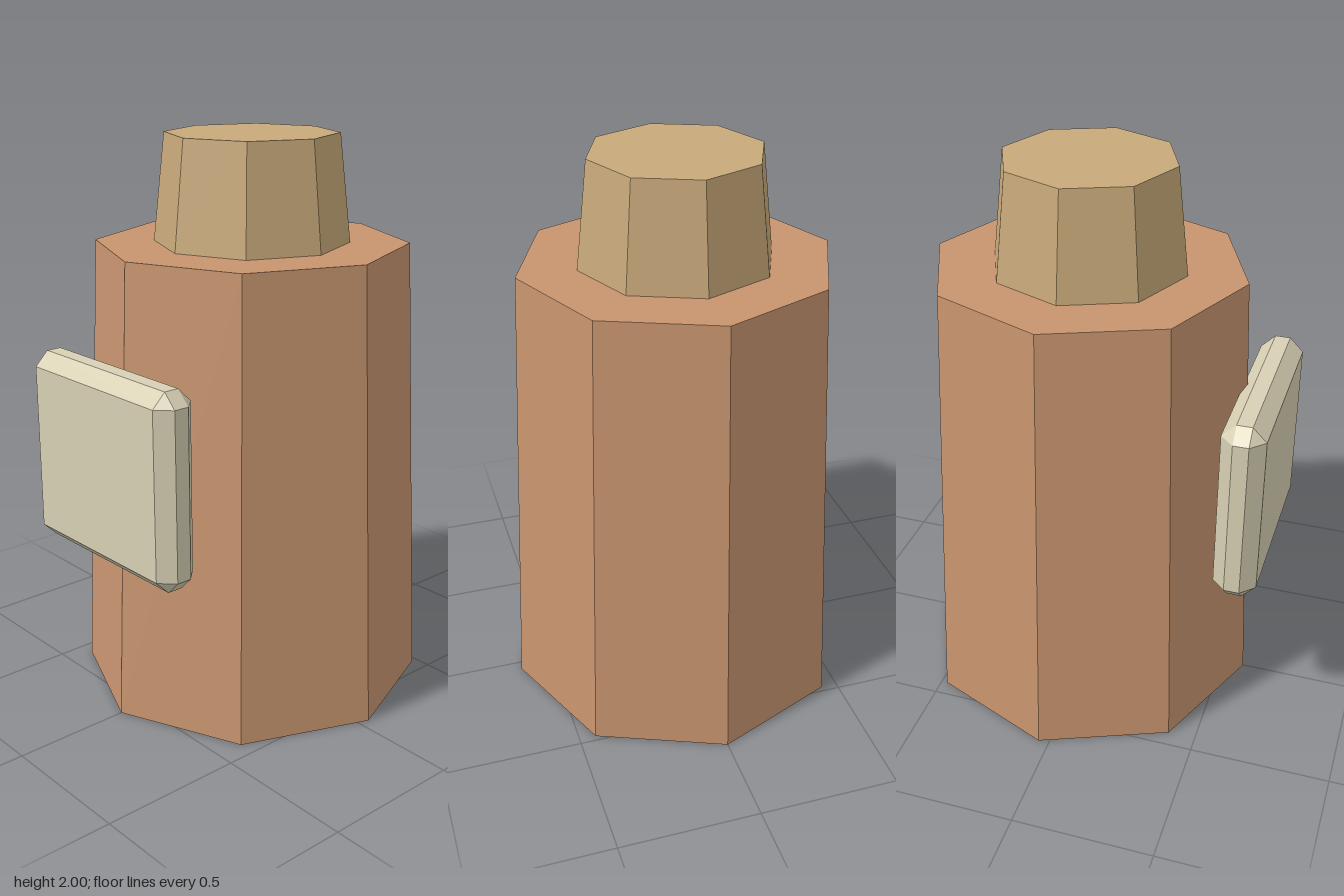
import * as THREE from 'three';
import { ConvexGeometry } from 'three/addons/geometries/ConvexGeometry.js';

const material = (name, color) => {
  const m = new THREE.MeshStandardMaterial({ color, flatShading: true });
  m.name = name;
  return m;
};

// Box with flat chamfers on every edge and corner
function chamferedBox(w, h, d, c) {
  const points = [];
  for (const sx of [-1, 1]) for (const sy of [-1, 1]) for (const sz of [-1, 1]) {
    const x = w / 2, y = h / 2, z = d / 2;
    points.push(
      new THREE.Vector3(sx * x, sy * (y - c), sz * (z - c)),
      new THREE.Vector3(sx * (x - c), sy * y, sz * (z - c)),
      new THREE.Vector3(sx * (x - c), sy * (y - c), sz * z));
  }
  return new ConvexGeometry(points);
}

export function createModel() {
  const group = new THREE.Group();
  const add = (name, geometry, mat, y, z) => {
    const mesh = new THREE.Mesh(geometry, mat);
    mesh.name = name;
    mesh.position.set(0, y, z);
    group.add(mesh);
  };
  const axisZ = -0.0385;
  const bodyHeight = 1.625, capHeight = 0.375;

  // Tapered eight-sided body
  add('body', new THREE.CylinderGeometry(0.55, 0.623, bodyHeight, 8),
    material('terracotta', 0xc8956f), bodyHeight / 2, axisZ);

  // Tapered stopper on top
  add('cap', new THREE.CylinderGeometry(0.302, 0.343, capHeight, 8),
    material('tan', 0xc8a97a), bodyHeight + capHeight / 2, axisZ);

  // Chamfered label plate on the front
  add('label', chamferedBox(0.748, 0.682, 0.152, 0.049),
    material('cream', 0xd8d0b4), 0.941, 0.586);

  return group;
}
